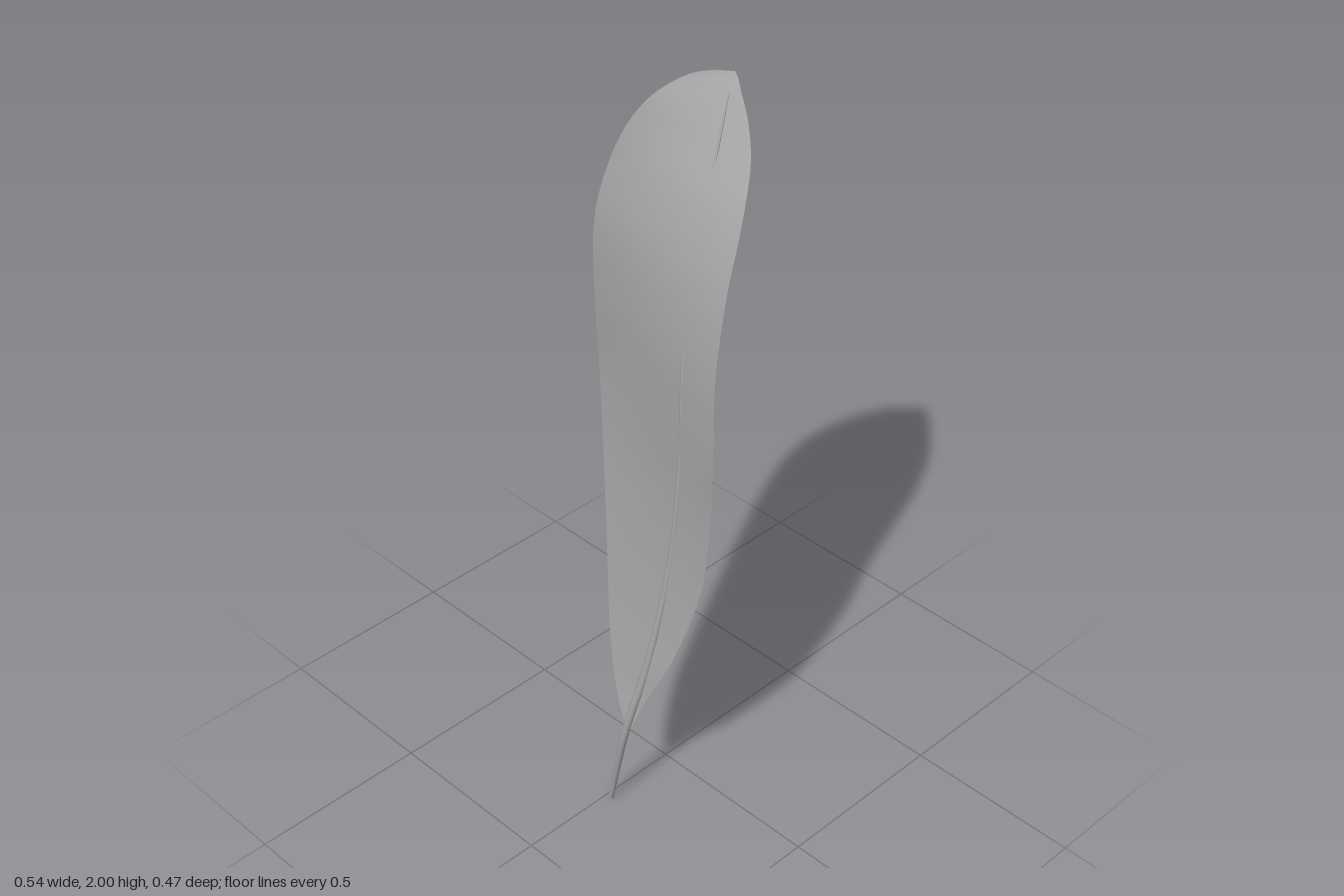
import * as THREE from 'three';

// Blade rows from base to tip: y, left-hand edge x, z, right-hand edge x, z
const ROWS = [
  [0.285, 0.07, 0.215, 0.085, 0.215],
  [0.33, 0.03, 0.2, 0.1, 0.207],
  [0.4, -0.02, 0.172, 0.125, 0.193],
  [0.5, -0.07, 0.138, 0.17, 0.177],
  [0.6, -0.105, 0.108, 0.205, 0.157],
  [0.8, -0.155, 0.065, 0.255, 0.128],
  [1.0, -0.205, 0.025, 0.265, 0.11],
  [1.2, -0.243, -0.002, 0.267, 0.104],
  [1.4, -0.264, -0.01, 0.243, 0.077],
  [1.6, -0.271, -0.025, 0.222, 0.02],
  [1.75, -0.245, -0.055, 0.192, -0.058],
  [1.85, -0.207, -0.08, 0.137, -0.14],
  [1.92, -0.165, -0.11, 0.08, -0.188],
  [1.97, -0.115, -0.155, 0.03, -0.215],
  [1.99, -0.08, -0.182, 0.008, -0.228],
  [2.0, -0.045, -0.205, -0.005, -0.232],
];

// Smooth sheet stretched between the two edge curves
function bladeGeometry(rows, cols) {
  const edge = (x, z) => new THREE.CatmullRomCurve3(ROWS.map(r => new THREE.Vector3(r[x], r[0], r[z])));
  const left = edge(1, 2), right = edge(3, 4);
  const geo = new THREE.PlaneGeometry(1, 1, cols, rows);
  const pos = geo.attributes.position;
  const p = new THREE.Vector3();
  for (let i = 0; i < pos.count; i++) {
    const u = pos.getX(i) + 0.5, v = pos.getY(i) + 0.5;
    p.lerpVectors(left.getPoint(v), right.getPoint(v), u);
    pos.setXYZ(i, p.x, p.y, p.z);
  }
  geo.computeVertexNormals();
  return geo;
}

// Tube whose rings shrink along the path
function taperedTube(points, segments, sides, radiusAt) {
  const curve = new THREE.CatmullRomCurve3(points.map(p => new THREE.Vector3(...p)));
  const geo = new THREE.TubeGeometry(curve, segments, 1, sides);
  const pos = geo.attributes.position;
  const p = new THREE.Vector3();
  for (let i = 0; i < pos.count; i++) {
    const t = Math.floor(i / (sides + 1)) / segments;
    const c = curve.getPointAt(t);
    p.fromBufferAttribute(pos, i).sub(c).multiplyScalar(radiusAt(t)).add(c);
    pos.setXYZ(i, p.x, p.y, p.z);
  }
  geo.computeVertexNormals();
  return geo;
}

export function createModel() {
  const group = new THREE.Group();
  group.name = 'feather';
  const grey = new THREE.MeshStandardMaterial({ color: 0xa2a2a2, side: THREE.DoubleSide });
  grey.name = 'featherGrey';

  const blade = new THREE.Mesh(bladeGeometry(90, 16), grey);
  blade.name = 'vane';
  group.add(blade);

  // Quill: bare at the bottom, then running along the back of the vane
  const path = [
    [0.015, 0, 0.223], [0.045, 0.14, 0.224], [0.073, 0.28, 0.218],
    [0.103, 0.5, 0.165], [0.12, 0.8, 0.103], [0.126, 1.1, 0.074],
    [0.113, 1.4, 0.05], [0.083, 1.65, -0.024], [0.045, 1.85, -0.123], [0.008, 1.96, -0.197],
  ];
  const radius = t => (t < 0.2 ? 0.008 + 0.02 * t : 0.012 - 0.0095 * (t - 0.2) / 0.8);
  const quill = new THREE.Mesh(taperedTube(path, 80, 10, radius), grey);
  quill.name = 'quill';
  group.add(quill);

  // Closed bottom end of the quill
  const end = new THREE.Mesh(new THREE.CircleGeometry(0.008, 10), grey);
  end.name = 'quillEnd';
  end.rotation.x = Math.PI / 2;
  end.position.set(0.015, 0.001, 0.223);
  group.add(end);

  return group;
}
